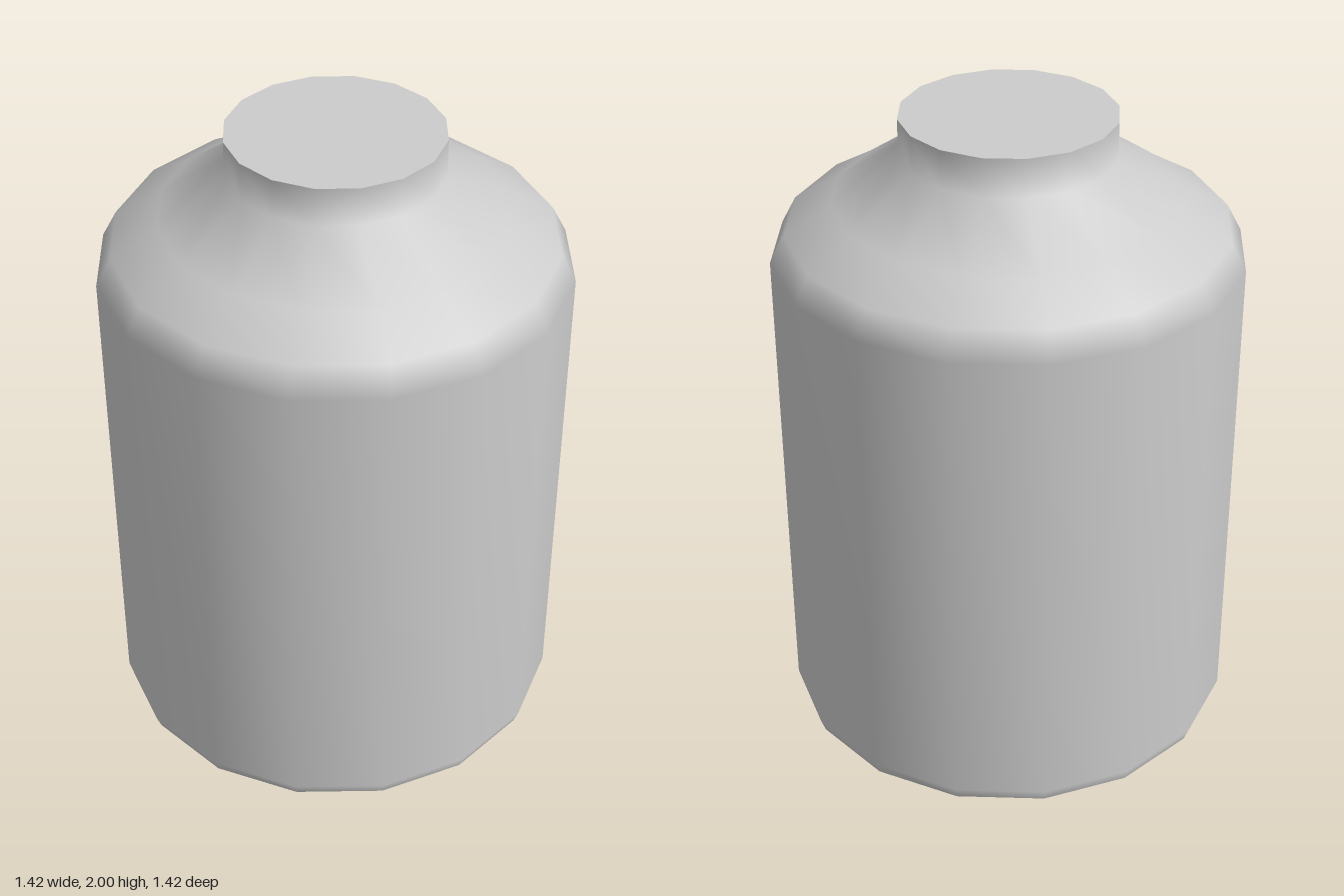
import * as THREE from 'three';

const SIDES = 16;

export function createModel() {
  const group = new THREE.Group();
  const material = new THREE.MeshStandardMaterial({ color: 0xcccccc });

  const add = (name, geometry) => {
    const mesh = new THREE.Mesh(geometry, material);
    mesh.name = name;
    group.add(mesh);
    return mesh;
  };

  // Smooth outer wall: bevelled foot, straight body, sloped shoulder, short neck
  const profile = [
    [0.695, 0], [0.71, 0.04], [0.71, 1.57], [0.665, 1.655],
    [0.525, 1.74], [0.323, 1.88], [0.323, 2],
  ].map(([r, y]) => new THREE.Vector2(r, y));
  add('bottleWall', new THREE.LatheGeometry(profile, SIDES));

  // Flat discs closing the neck and the foot
  const top = add('topCap', new THREE.CircleGeometry(0.323, SIDES));
  top.rotation.x = -Math.PI / 2;
  top.position.y = 2;
  const base = add('baseCap', new THREE.CircleGeometry(0.695, SIDES));
  base.rotation.x = Math.PI / 2;

  return group;
}
